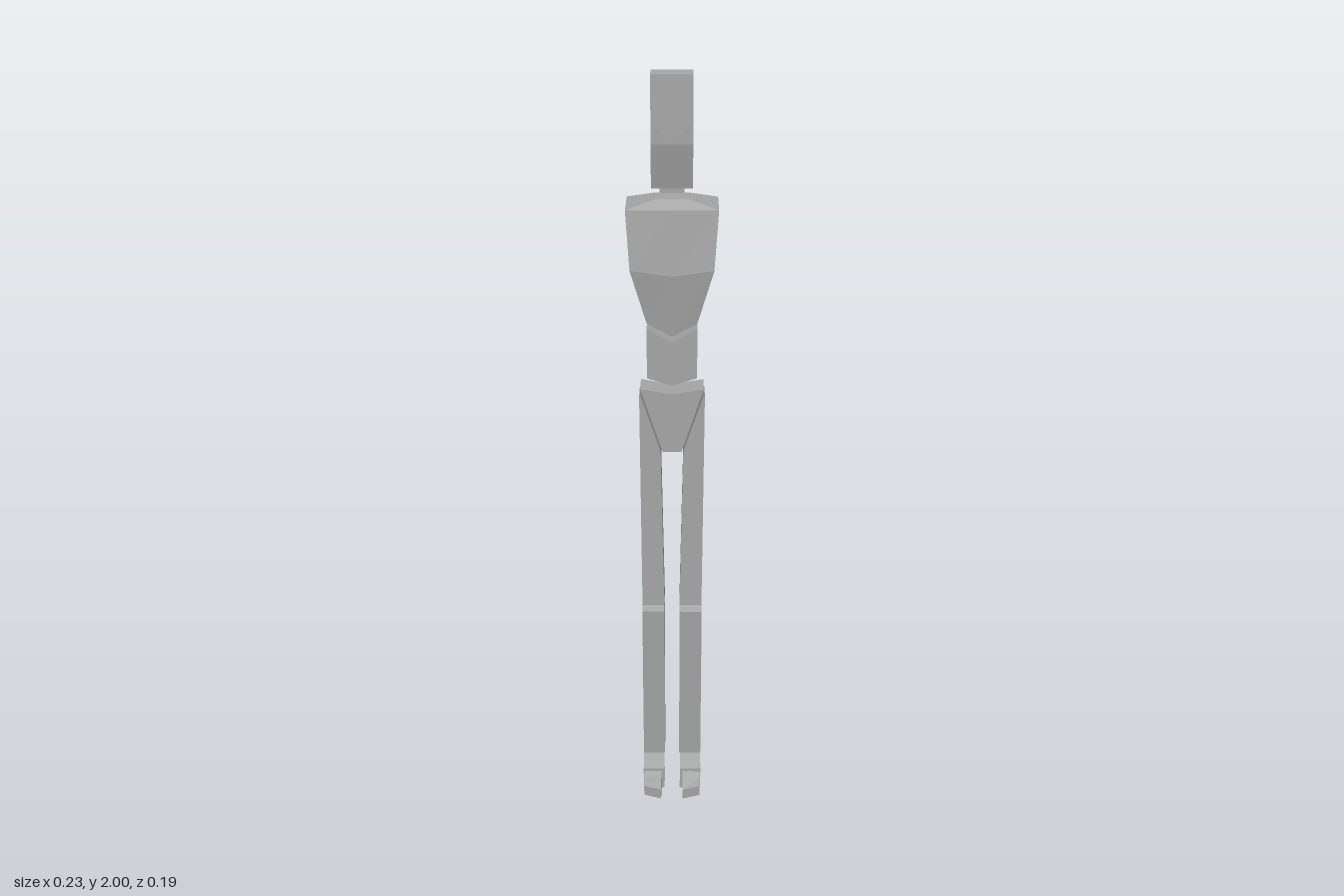
import * as THREE from 'three';

const gray = new THREE.MeshStandardMaterial({ color: 0xa6a6a6 });
gray.name = 'mannequinGray';

const outline = (pts) => new THREE.Shape(pts.map(([a, b]) => new THREE.Vector2(a, b)));

// Front outline (x, y) given thickness between z0 and z1
function frontPrism(pts, z0, z1) {
  const geo = new THREE.ExtrudeGeometry(outline(pts), { depth: z1 - z0, bevelEnabled: false });
  return geo.translate(0, 0, z0);
}

// Side outline (z, y) given width between x0 and x1
function sidePrism(pts, x0, x1) {
  const geo = new THREE.ExtrudeGeometry(outline(pts), { depth: x1 - x0, bevelEnabled: false });
  return geo.rotateY(-Math.PI / 2).translate(x1, 0, 0);
}

// Move vertices by a rule, then renew the flat normals
function reshape(geo, rule) {
  const p = geo.attributes.position;
  const v = new THREE.Vector3();
  for (let i = 0; i < p.count; i++) {
    rule(v.fromBufferAttribute(p, i));
    p.setXYZ(i, v.x, v.y, v.z);
  }
  geo.computeVertexNormals();
  return geo;
}

// Six-point rings, lowest first: half width, side y, centre y, front z, back z
function ringLoft(rings) {
  const pts = rings.flatMap(([w, y, yc, f, b]) => [
    [-w, y, f], [0, yc, f], [w, y, f], [w, y, b], [0, yc, b], [-w, y, b],
  ]);
  const index = [];
  const quad = (a, b, c, d) => index.push(a, b, c, a, c, d);
  for (let r = 0; r < rings.length - 1; r++) {
    for (let i = 0; i < 6; i++) {
      const j = (i + 1) % 6, lo = r * 6, hi = lo + 6;
      quad(lo + i, lo + j, hi + j, hi + i);
    }
  }
  const t = (rings.length - 1) * 6;
  quad(t, t + 1, t + 4, t + 5);
  quad(t + 1, t + 2, t + 3, t + 4);
  quad(5, 4, 1, 0);
  quad(4, 3, 2, 1);
  const geo = new THREE.BufferGeometry();
  geo.setAttribute('position', new THREE.Float32BufferAttribute(pts.flat(), 3));
  geo.setIndex(index);
  const flat = geo.toNonIndexed();
  flat.computeVertexNormals();
  return flat;
}

export function createModel() {
  const model = new THREE.Group();
  model.name = 'mannequin';
  const add = (name, geo, parent = model) => {
    const mesh = new THREE.Mesh(geo, gray);
    mesh.name = name;
    parent.add(mesh);
    return mesh;
  };

  // Head, narrowed at the top of the back
  const head = sidePrism([
    [0.063, 2], [0, 2], [-0.062, 1.98], [-0.073, 1.89],
    [-0.06, 1.775], [0.045, 1.73], [0.067, 1.84],
  ], -0.05, 0.05);
  add('head', reshape(head, (v) => {
    if (v.z < -0.05 && v.y > 1.95) v.x *= 0.87;
  }));
  add('neck', new THREE.BoxGeometry(0.06, 0.04, 0.05).translate(0, 1.73, -0.015));

  // Torso
  add('chest', ringLoft([
    [0.063, 1.39, 1.355, 0.037, -0.03],
    [0.103, 1.53, 1.515, 0.055, -0.08],
    [0.113, 1.675, 1.675, 0.038, -0.095],
    [0.04, 1.697, 1.697, 0.015, -0.05],
  ]));
  add('abdomen', frontPrism([
    [-0.063, 1.375], [-0.063, 1.245], [0, 1.225], [0.063, 1.245], [0.063, 1.375], [0, 1.34],
  ], -0.028, 0.038));
  add('pelvis', frontPrism([
    [-0.08, 1.217], [-0.024, 1.045], [0.024, 1.045], [0.08, 1.217], [0, 1.203],
  ], -0.03, 0.042));

  // Paired parts: side is +1 on the model's left, -1 on its right
  for (const side of [1, -1]) {
    const label = side > 0 ? 'left' : 'right';
    const span = (a, b) => (side > 0 ? [a, b] : [-b, -a]);
    const mirror = (pts) => pts.map(([x, y]) => [x * side, y]);

    // Slim slanted eye plate
    add(label + 'Eye', frontPrism(mirror([
      [0.003, 1.862], [0.03, 1.868], [0.049, 1.892], [0.042, 1.848], [0.02, 1.842],
    ]), 0.062, 0.068));

    const leg = new THREE.Group();
    leg.name = label + 'Leg';
    model.add(leg);
    add(label + 'Thigh', frontPrism(mirror([
      [0.083, 1.195], [0.079, 0.595], [0.02, 0.595], [0.029, 1.045], [0.08, 1.2],
    ]), -0.03, 0.042), leg);
    add(label + 'Shin', sidePrism([
      [0.034, 0.57], [-0.035, 0.587], [-0.064, 0.105], [0, 0.09],
    ], ...span(0.02, 0.08)), leg);
    add(label + 'Heel', sidePrism([
      [0.042, 0], [0.042, 0.065], [-0.048, 0.1], [-0.048, 0],
    ], ...span(0.022, 0.08)), leg);

    // Toe, its front edge swept back toward the outside
    const toe = sidePrism([
      [0.05, 0], [0.05, 0.062], [0.072, 0.052], [0.093, 0.03], [0.093, 0],
    ], ...span(0.03, 0.078));
    add(label + 'Toe', reshape(toe, (v) => {
      if (v.z > 0.06 && Math.abs(v.x) > 0.05) v.z = 0.05 + (v.z - 0.05) * 0.6;
    }), leg);
  }
  return model;
}
